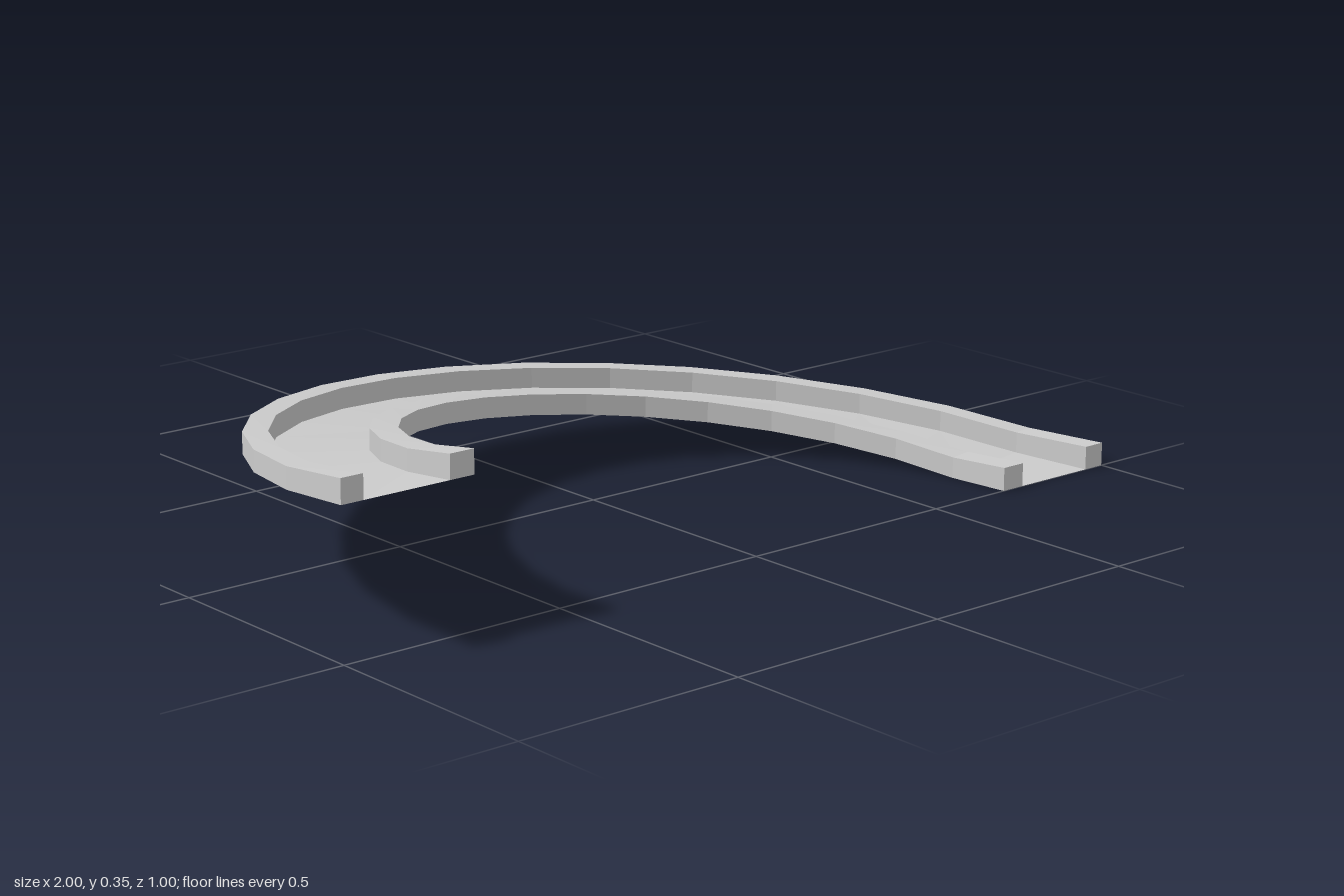
import * as THREE from 'three';

const SEGMENTS = 16;
const RISE = 0.3;

const material = new THREE.MeshStandardMaterial({
  color: 0xcccccc, flatShading: true, side: THREE.DoubleSide,
});

// Base height at a step: the first segment is level, then a steady climb
const baseHeight = (i) => RISE * Math.max(0, i - 1) / (SEGMENTS - 1);
// Rails are a touch taller at the two ends
const railHeight = (i) => (i === 0 || i === SEGMENTS ? 0.05 : 0.045);

// Sweeps a cross-section of [radius, 0 or 1 rail height] round the half circle
function sweep(name, profile, closed) {
  const n = profile.length;
  const positions = [];
  const index = [];
  for (let i = 0; i <= SEGMENTS; i++) {
    const a = Math.PI * i / SEGMENTS;
    for (const [r, h] of profile) {
      positions.push(r * Math.cos(a), baseHeight(i) + h * railHeight(i), 0.5 - r * Math.sin(a));
    }
  }
  for (let i = 0; i < SEGMENTS; i++) {
    for (let j = 0; j < (closed ? n : n - 1); j++) {
      const a = i * n + j;
      const b = i * n + (j + 1) % n;
      index.push(a, a + n, b + n, a, b + n, b);
    }
  }
  // End caps
  if (closed) {
    const e = SEGMENTS * n;
    for (let j = 1; j < n - 1; j++) index.push(0, j, j + 1, e, e + j + 1, e + j);
  }
  const geometry = new THREE.BufferGeometry();
  geometry.setAttribute('position', new THREE.Float32BufferAttribute(positions, 3));
  geometry.setIndex(index);
  const flat = geometry.toNonIndexed();
  flat.computeVertexNormals();
  const mesh = new THREE.Mesh(flat, material);
  mesh.name = name;
  return mesh;
}

const rail = (name, r0, r1) => sweep(name, [[r0, 0], [r1, 0], [r1, 1], [r0, 1]], true);

export function createModel() {
  const group = new THREE.Group();
  group.name = 'curvedRamp';
  group.add(
    sweep('deck', [[0.756, 0], [0.95, 0]], false),
    rail('innerRail', 0.7, 0.756),
    rail('outerRail', 0.95, 1),
  );
  return group;
}
